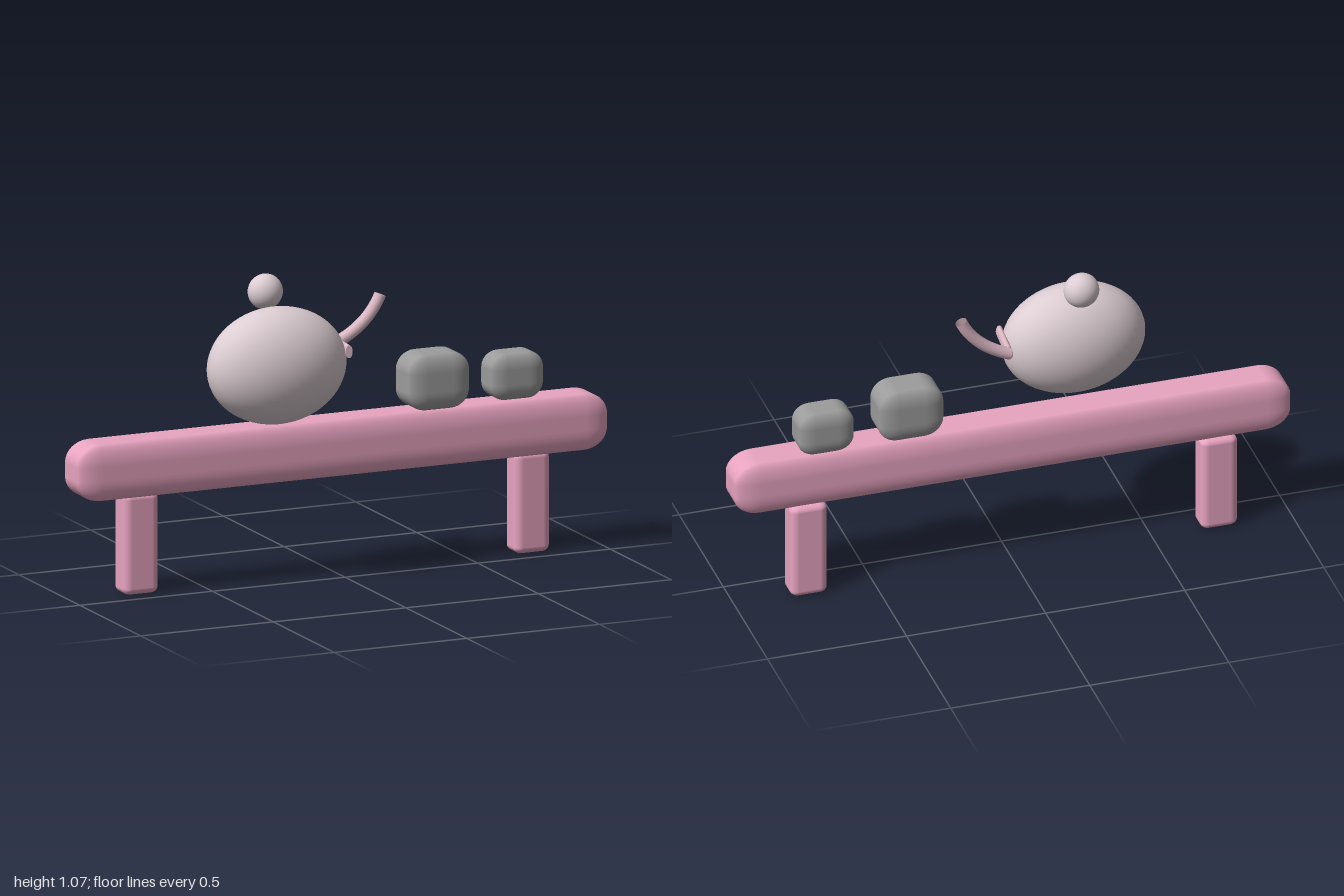
import * as THREE from 'three';
import { RoundedBoxGeometry } from 'three/addons/geometries/RoundedBoxGeometry.js';

const mat = (color, side = THREE.FrontSide) => new THREE.MeshStandardMaterial({ color, side });

export function createModel() {
  const model = new THREE.Group();
  const pink = mat(0xe8a4c0), pale = mat(0xdccdd2), stone = mat(0x9c9c9c);
  const spoutMat = mat(0xdcb8c4, THREE.DoubleSide);

  const add = (name, geometry, material) => {
    const mesh = new THREE.Mesh(geometry, material);
    mesh.name = name;
    model.add(mesh);
    return mesh;
  };

  // Soft block given by min and max corners, with its own rounding along each axis
  const block = (name, min, max, r, material) => {
    const size = max.map((v, i) => v - min[i]);
    const g = new RoundedBoxGeometry(size[0] / r[0], size[1] / r[1], size[2] / r[2], 5, 1);
    g.scale(...r);
    g.translate(...min.map((v, i) => (v + max[i]) / 2));
    return add(name, g, material);
  };

  const ball = (name, center, radii, material) => {
    const g = new THREE.SphereGeometry(1, 48, 32);
    g.scale(...radii);
    g.translate(...center);
    return add(name, g, material);
  };

  // Bench
  block('benchTop', [-1, 0.355, -0.148], [1, 0.555, 0], [0.09, 0.075, 0.028], pink);
  for (const [name, x] of [['rightLeg', -0.74], ['leftLeg', 0.735]]) {
    block(name, [x - 0.066, 0.003, -0.148], [x + 0.066, 0.36, -0.052], [0.028, 0.022, 0.024], pink);
  }

  // Blocks resting on the bench
  block('largeBlock', [0.247, 0.553, -0.148], [0.48, 0.75, 0], [0.07, 0.065, 0.03], stone);
  block('smallBlock', [0.57, 0.553, -0.148], [0.77, 0.717, -0.027], [0.06, 0.055, 0.028], stone);

  // Pot body and knob
  ball('potBody', [-0.258, 0.775, 0], [0.255, 0.205, 0.147], pale);
  ball('lidKnob', [-0.258, 1.015, -0.093], [0.062, 0.062, 0.054], pale);

  // Spout: flattened root running back along the body, then an upward curve
  const root = new THREE.CylinderGeometry(0.023, 0.023, 0.148, 20);
  root.rotateX(Math.PI / 2);
  root.scale(0.55, 1, 1);
  root.rotateY(-0.08);
  root.translate(-0.004, 0.81, -0.018);
  add('spoutRoot', root, spoutMat);
  ball('spoutElbow', [0.002, 0.808, -0.09], [0.014, 0.022, 0.02], spoutMat);

  const path = new THREE.QuadraticBezierCurve3(
    new THREE.Vector3(-0.002, 0.806, -0.09),
    new THREE.Vector3(0.125, 0.855, -0.09),
    new THREE.Vector3(0.174, 0.964, -0.09));
  add('spout', new THREE.TubeGeometry(path, 24, 0.021, 16), spoutMat);

  return model;
}
